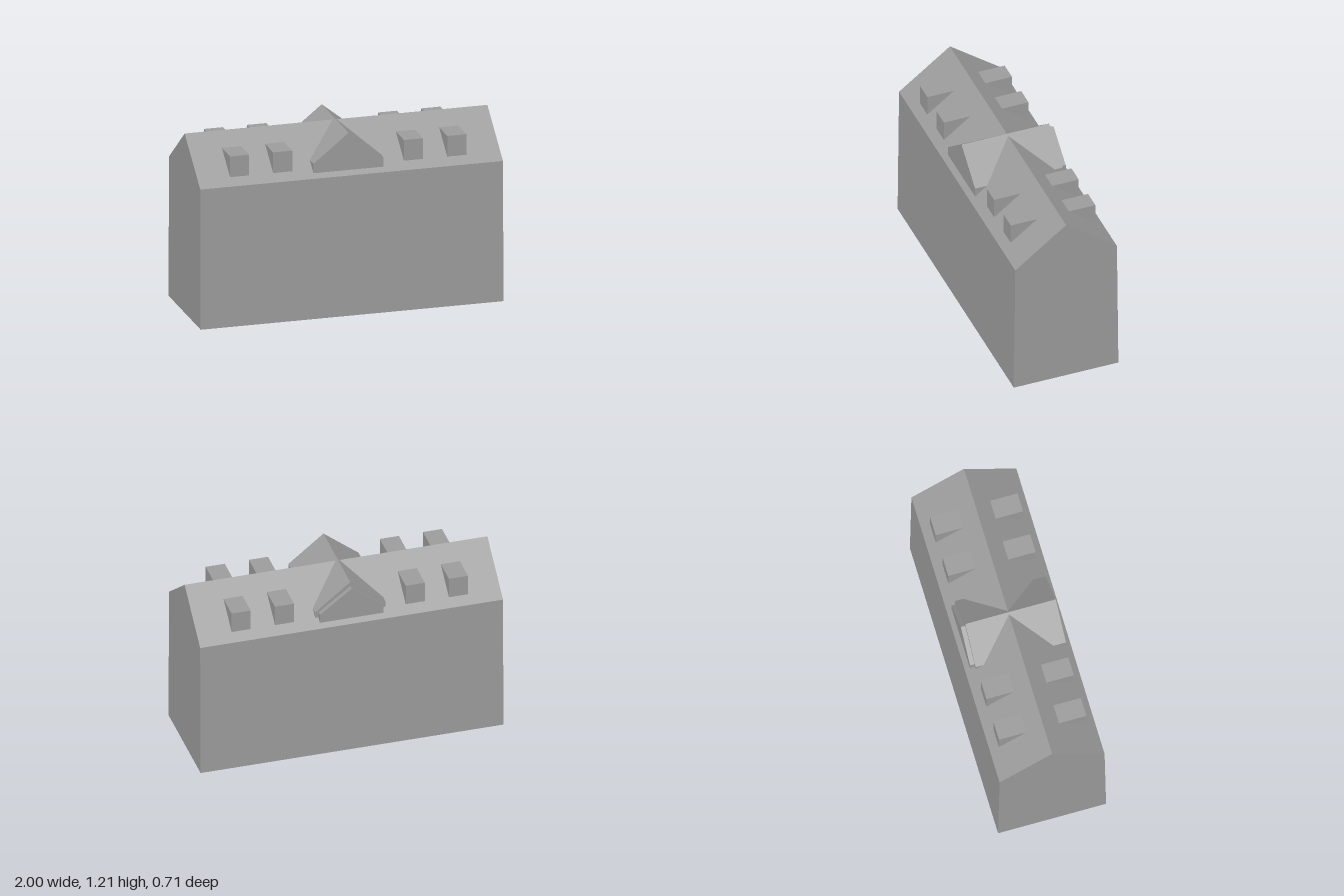
import * as THREE from 'three';

const HALF = 1, EAVE_Y = 0.932, RIDGE_Y = 1.196, EAVE_Z = 0.346, BASE_Z = 0.356;
const material = new THREE.MeshStandardMaterial({ color: 0x9b9b9b, flatShading: true, side: THREE.DoubleSide });

// Depth at which the main roof slope reaches height y, and the reverse
const roofZ = (y) => EAVE_Z * (RIDGE_Y - y) / (RIDGE_Y - EAVE_Y);
const roofY = (z) => RIDGE_Y - z * (RIDGE_Y - EAVE_Y) / EAVE_Z;

// Mesh from flat convex polygons; side = -1 mirrors them to the back
function panels(name, polygons, side = 1) {
  const pos = [];
  for (const poly of polygons) {
    for (let i = 1; i < poly.length - 1; i++) {
      const tri = side > 0 ? [poly[0], poly[i], poly[i + 1]] : [poly[0], poly[i + 1], poly[i]];
      for (const [x, y, z] of tri) pos.push(x, y, z * side);
    }
  }
  const geo = new THREE.BufferGeometry();
  geo.setAttribute('position', new THREE.Float32BufferAttribute(pos, 3));
  geo.computeVertexNormals();
  const mesh = new THREE.Mesh(geo, material);
  mesh.name = name;
  return mesh;
}

// Flat-topped dormer that runs back into the roof slope
function dormer(x, side) {
  const w = 0.063, top = 1.114, zf = 0.288, low = roofY(zf), zb = roofZ(top);
  const l = x - w, r = x + w;
  return panels('dormer', [
    [[l, low, zf], [r, low, zf], [r, top, zf], [l, top, zf]],
    [[l, top, zf], [r, top, zf], [r, top, zb], [l, top, zb]],
    [[r, low, zf], [r, top, zb], [r, top, zf]],
    [[l, low, zf], [l, top, zf], [l, top, zb]],
  ], side);
}

// Large gabled dormer whose ridge reaches the middle of the house
function gable(zf, side) {
  const cx = -0.01, w = 0.232, eave = 1.02, peak = 1.206;
  const low = roofY(zf), zb = roofZ(eave), l = cx - w, r = cx + w;
  const dx = w * (peak - RIDGE_Y) / (peak - eave);
  return panels('gableDormer', [
    [[l, low, zf], [r, low, zf], [r, eave, zf], [cx, peak, zf], [l, eave, zf]],
    [[r, eave, zf], [r, eave, zb], [cx + dx, RIDGE_Y, 0], [cx, peak, 0], [cx, peak, zf]],
    [[l, eave, zf], [cx, peak, zf], [cx, peak, 0], [cx - dx, RIDGE_Y, 0], [l, eave, zb]],
    [[r, low, zf], [r, eave, zb], [r, eave, zf]],
    [[l, low, zf], [l, eave, zf], [l, eave, zb]],
  ], side);
}

export function createModel() {
  const house = new THREE.Group();
  house.name = 'house';

  // Shell, open underneath: long walls and roof slopes, then the end walls
  const section = [[0, BASE_Z], [EAVE_Y, EAVE_Z], [RIDGE_Y, 0], [EAVE_Y, -EAVE_Z], [0, -BASE_Z]];
  const names = ['frontWall', 'frontRoof', 'backRoof', 'backWall'];
  names.forEach((name, i) => {
    const [y0, z0] = section[i], [y1, z1] = section[i + 1];
    house.add(panels(name, [[[-HALF, y0, z0], [HALF, y0, z0], [HALF, y1, z1], [-HALF, y1, z1]]]));
  });
  const endAt = (x) => section.map(([y, z]) => [x, y, z]);
  house.add(panels('leftEndWall', [endAt(HALF).reverse()]));
  house.add(panels('rightEndWall', [endAt(-HALF)]));

  // Four small dormers on each slope
  for (const side of [1, -1]) {
    for (const x of [-0.723, -0.438, 0.426, 0.712]) house.add(dormer(x, side));
  }

  // Central gables, the back one with a smaller projecting face
  house.add(gable(0.312, 1), gable(0.284, -1));
  const face = new THREE.Shape([[-0.22, 0.956], [0.2, 0.956], [0.2, 1.016], [-0.01, 1.175], [-0.22, 1.016]]
    .map(([x, y]) => new THREE.Vector2(x, y)));
  const bay = new THREE.Mesh(new THREE.ExtrudeGeometry(face, { depth: 0.03, bevelEnabled: false }), material);
  bay.name = 'backGableBay';
  bay.position.z = -0.314;
  house.add(bay);

  return house;
}
